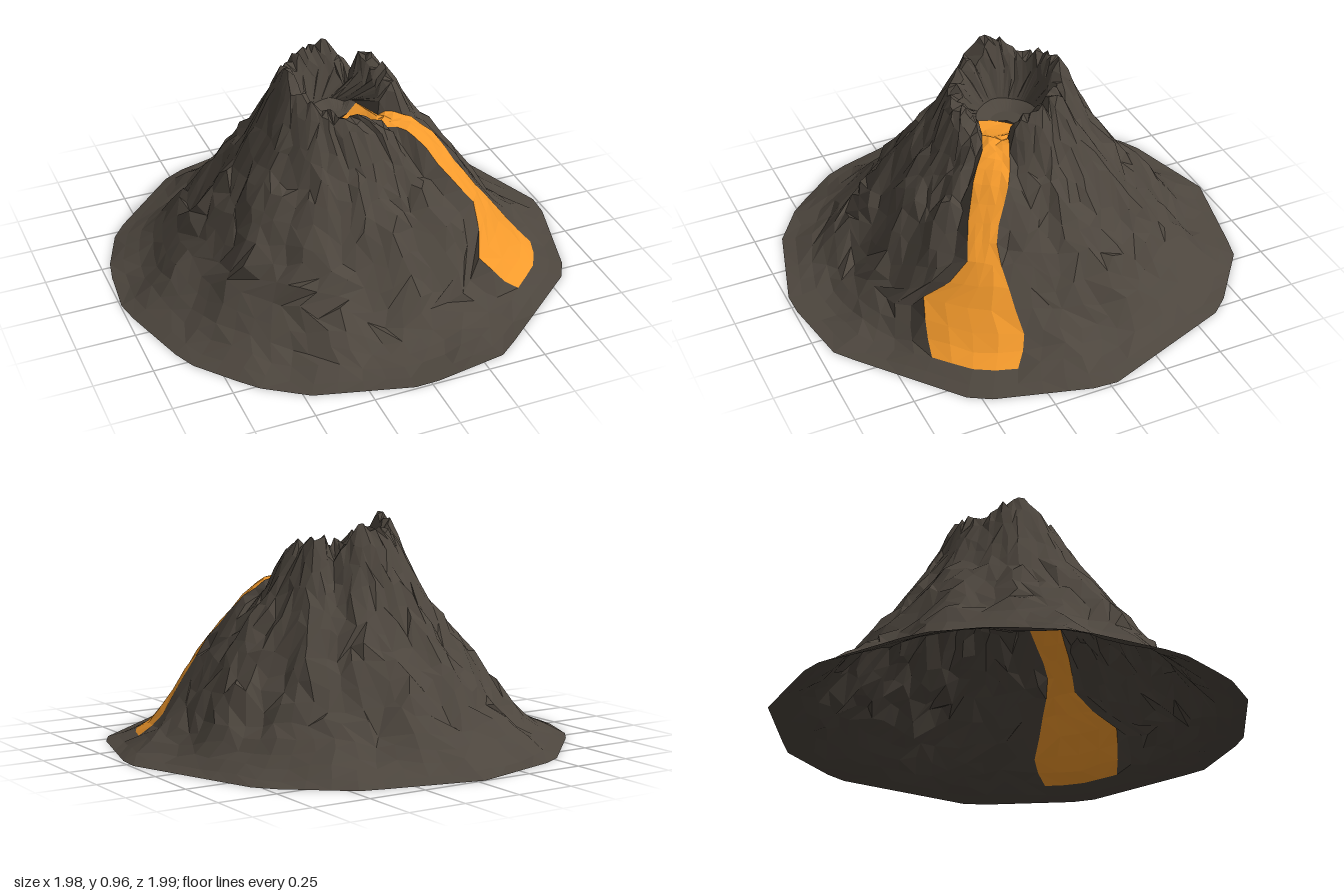
import * as THREE from 'three';

const RAD = Math.PI / 180;

// Linear lookup in a short list of [key, value] pairs
function lookup(table, k) {
  for (let i = 1; i < table.length; i++) {
    const [k0, v0] = table[i - 1], [k1, v1] = table[i];
    if (k <= k1) return v0 + (v1 - v0) * Math.max(0, (k - k0) / (k1 - k0));
  }
  return table[table.length - 1][1];
}

// Repeatable value in -1..1 for a grid vertex
function hash(i, j, s) {
  const v = Math.sin(i * 127.1 + j * 311.7 + s * 74.7) * 43758.5453;
  return (v - Math.floor(v)) * 2 - 1;
}

// Ring radii from the crater floor to the foot
const RINGS = [0, 0.07, 0.13, 0.17, 0.2, 0.235, 0.27, 0.31, 0.35, 0.4, 0.45, 0.5,
  0.55, 0.6, 0.65, 0.7, 0.76, 0.81, 0.87, 0.94, 1];
const LAVA_END = RINGS.indexOf(0.87);
const LAVA_COLS = 4, COLS = 60;

// Angles (degrees from +x towards +z) of the two lava banks, by radius
const BANK_LO = [[0, -30], [0.13, -30], [0.17, 24], [0.215, 22], [0.38, 23], [0.51, 29],
  [0.56, 29], [0.65, 24], [0.77, 19], [0.88, 22], [1, 22]];
const BANK_HI = [[0, 105], [0.13, 100], [0.17, 62], [0.21, 53], [0.28, 45], [0.38, 45], [0.5, 43],
  [0.6, 40], [0.66, 47], [0.7, 54], [0.87, 46], [1, 46]];
const LAVA_Y = [[0, 0.66], [0.13, 0.69], [0.2, 0.71], [0.3, 0.69], [0.38, 0.64], [0.5, 0.5],
  [0.58, 0.4], [0.7, 0.22], [0.8, 0.09], [0.87, 0.04], [0.94, 0.015], [1, 0]];

// Crater rim height by angle, flank height by radius
const RIM = [[0, 0.85], [18, 0.8], [35, 0.7], [55, 0.75], [75, 0.79], [95, 0.81], [120, 0.83],
  [150, 0.88], [175, 0.95], [190, 0.94], [215, 0.88], [240, 0.9], [262, 0.92], [278, 0.95],
  [292, 0.87], [305, 0.79], [318, 0.9], [340, 0.87], [360, 0.85]];
const FLANK = [[0.235, 0.92], [0.27, 0.86], [0.31, 0.76], [0.4, 0.6], [0.5, 0.46], [0.6, 0.325],
  [0.7, 0.2], [0.8, 0.1], [0.9, 0.035], [1, 0]];

// Corner angles of the irregular foot outline
const FOOT = [0, 31.5, 69.5, 92, 118, 131, 150, 176.5, 194, 210, 240.5, 268, 297.5, 320, 360];

function footRadius(deg) {
  const a = ((deg % 360) + 360) % 360;
  const i = Math.max(1, FOOT.findIndex((f) => f >= a));
  const mid = (FOOT[i] + FOOT[i - 1]) / 2, half = (FOOT[i] - FOOT[i - 1]) / 2;
  return Math.cos(half * RAD) / Math.cos((a - mid) * RAD);
}

function rockHeight(r, deg) {
  const a = ((deg % 360) + 360) % 360;
  const rim = lookup(RIM, a);
  if (r < 0.235) {
    const t = THREE.MathUtils.clamp((r - 0.12) / 0.085, 0, 1);
    return 0.67 + (rim - 0.67) * t;
  }
  // Lower front hollow, gullies running down the flanks
  const bulge = Math.max(0, Math.sin((r - 0.22) / 0.78 * Math.PI));
  const hollow = Math.exp(-(((a - 85) / 30) ** 2)) * 0.11 * bulge;
  const q = a * RAD;
  const gully = Math.sin(11 * q + 7 * r) + 0.7 * Math.sin(17 * q - 9 * r + 1) + 0.5 * Math.sin(5 * q + 14 * r);
  const rimShift = (rim - 0.92) * THREE.MathUtils.clamp((0.45 - r) / 0.2, 0, 1);
  return lookup(FLANK, r) + rimShift - hollow + gully * 0.02 * bulge;
}

// One vertex of the polar grid
function gridPoint(i, col) {
  const j = col % COLS;
  let r = RINGS[i];
  const lo = lookup(BANK_LO, r), hi = lookup(BANK_HI, r);
  const lava = j <= LAVA_COLS;
  let deg = lava ? lo + (hi - lo) * j / LAVA_COLS
    : hi + (lo + 360 - hi) * (j - LAVA_COLS) / (COLS - LAVA_COLS);
  let y;
  if (lava) {
    y = lookup(LAVA_Y, r);
    if (i > 0 && i < LAVA_END) y += hash(i, j, 3) * 0.008;
  } else {
    const rough = r > 0.15 && r < 0.75 ? 1 : r < 0.9 && r > 0.15 ? 0.4 : 0;
    deg += hash(i, j, 1) * 1.9 * rough;
    r += hash(i, j, 2) * 0.016 * rough;
    y = rockHeight(r, deg) + hash(i, j, 3) * 0.018 * rough;
  }
  // Blend from round rings to the angular foot
  const t = THREE.MathUtils.smoothstep(r, 0.6, 1);
  r *= 1 + (footRadius(deg) - 1) * t;
  return [r * Math.cos(deg * RAD), Math.max(0, y), r * Math.sin(deg * RAD)];
}

function facetedMesh(name, positions, color) {
  const geometry = new THREE.BufferGeometry();
  geometry.setAttribute('position', new THREE.Float32BufferAttribute(positions, 3));
  geometry.computeVertexNormals();
  const mesh = new THREE.Mesh(geometry, new THREE.MeshStandardMaterial({
    color, flatShading: true, side: THREE.DoubleSide }));
  mesh.name = name;
  return mesh;
}

export function createModel() {
  const rock = [], lava = [];
  for (let i = 0; i < RINGS.length - 1; i++) {
    for (let j = 0; j < COLS; j++) {
      const out = j < LAVA_COLS && i < LAVA_END ? lava : rock;
      const a = gridPoint(i, j), b = gridPoint(i, j + 1);
      const c = gridPoint(i + 1, j), d = gridPoint(i + 1, j + 1);
      if (i === 0) out.push(...a, ...d, ...c);
      else if (hash(i, j, 5) > 0) out.push(...a, ...b, ...c, ...b, ...d, ...c);
      else out.push(...a, ...b, ...d, ...a, ...d, ...c);
    }
  }
  const group = new THREE.Group();
  group.name = 'volcano';
  group.add(facetedMesh('mountain', rock, 0x4d463e));
  group.add(facetedMesh('lavaFlow', lava, 0xf49a2c));
  return group;
}
